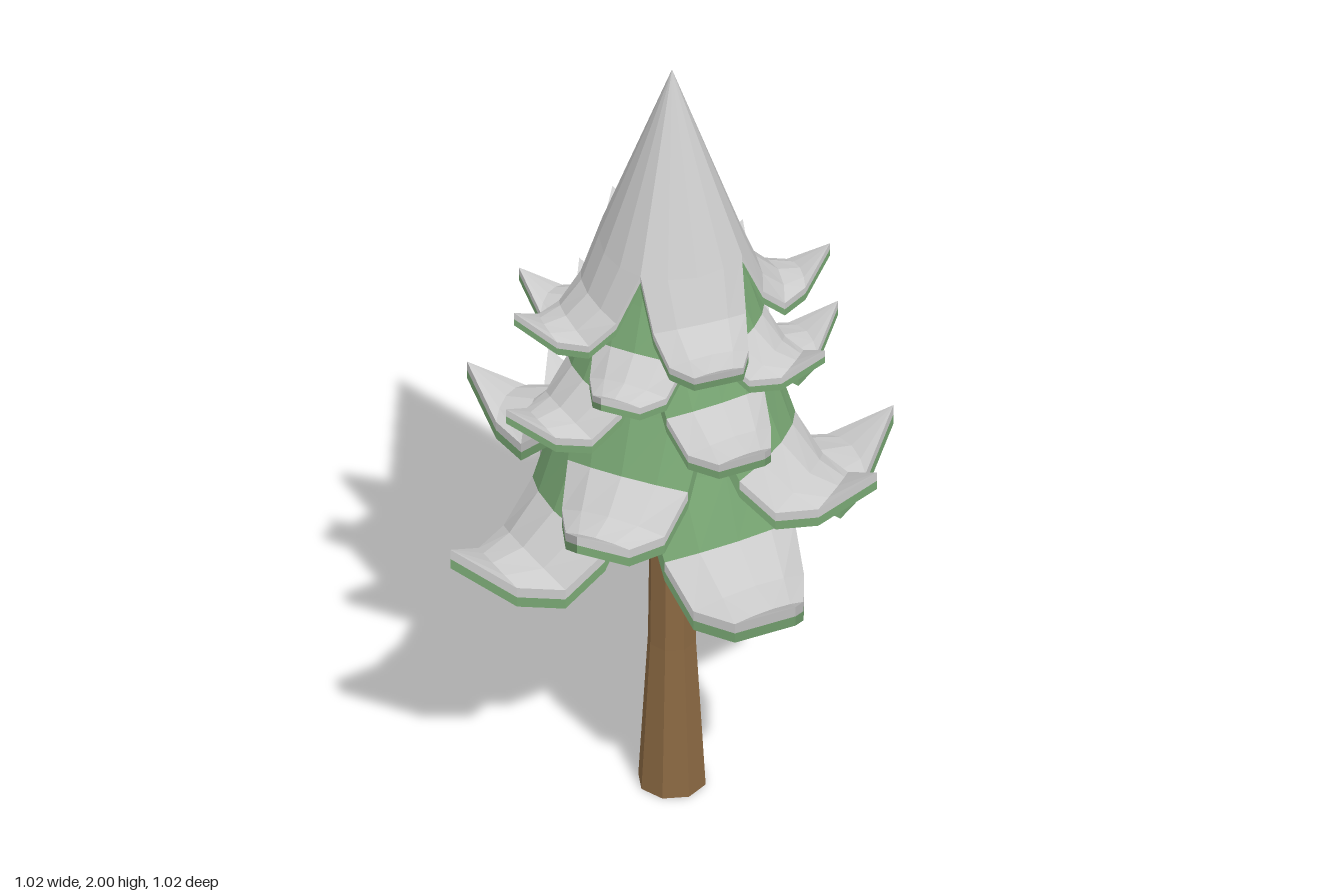
import * as THREE from 'three';

const material = (color) => new THREE.MeshStandardMaterial({ color, flatShading: true });

// Cross-sections of one bough, from the axis to the tip; y is relative to the tip.
// [ridge distance, ridge y, edge distance, edge half width, edge y]
const SECTIONS = [
  [0, 0.885, 0, 0, 0.885],
  [0.25, 0.17, 0.186, 0.186, 0.18],
  [0.31, 0.015, 0.27, 0.17, -0.01],
  [0.39, -0.06, 0.36, 0.145, -0.1],
  [0.47, -0.075, 0.456, 0.09, -0.095],
  [0.58, 0, 0.58, 0, 0],
];
const ACROSS = [-1, -0.55, 0, 0.55, 1];
const THICKNESS = 0.052;

// Points of one bough surface, lowered by drop
function boughGrid(scale, tipY, angle, drop) {
  const c = Math.cos(angle), s = Math.sin(angle);
  return SECTIONS.map(([ru, ry, eu, ev, ey]) => ACROSS.map((t) => {
    const k = t * t;
    const u = (ru + (eu - ru) * k) * scale;
    const v = ev * t * scale;
    const y = tipY + (ry + (ey - ry) * k - drop) * scale;
    return new THREE.Vector3(u * c - v * s, y, u * s + v * c);
  }));
}

function addTriangle(list, a, b, c) {
  const area = b.clone().sub(a).cross(c.clone().sub(a)).length();
  if (area > 1e-7) for (const p of [a, b, c]) list.push(p.x, p.y, p.z);
}

function addQuad(list, a, b, c, d) {
  addTriangle(list, a, b, c);
  addTriangle(list, a, c, d);
}

function meshFrom(list, mat, name) {
  const geometry = new THREE.BufferGeometry();
  geometry.setAttribute('position', new THREE.Float32BufferAttribute(list, 3));
  geometry.computeVertexNormals();
  const mesh = new THREE.Mesh(geometry, mat);
  mesh.name = name;
  return mesh;
}

// A skirt of four boughs; snow lies on the surface from section snowStart outward
function createTier(name, scale, tipY, degrees, snowStart, snowMat, needleMat) {
  const snow = [], needles = [];
  const last = ACROSS.length - 1;
  for (let n = 0; n < 4; n++) {
    const angle = THREE.MathUtils.degToRad(degrees + n * 90);
    const [top, middle, bottom] = [0, THICKNESS / 2, THICKNESS]
      .map((drop) => boughGrid(scale, tipY, angle, drop));
    for (let i = 0; i < SECTIONS.length - 1; i++) {
      const upper = i >= snowStart ? snow : needles;
      for (let j = 0; j < last; j++) {
        addQuad(upper, top[i][j], top[i][j + 1], top[i + 1][j + 1], top[i + 1][j]);
        addQuad(needles, bottom[i][j], bottom[i + 1][j], bottom[i + 1][j + 1], bottom[i][j + 1]);
      }
      if (i === 0) continue; // neighbouring boughs join here
      // Two-layer rim along both edges
      for (const [list, hi, lo] of [[upper, top, middle], [needles, middle, bottom]]) {
        addQuad(list, hi[i][last], lo[i][last], lo[i + 1][last], hi[i + 1][last]);
        addQuad(list, hi[i][0], hi[i + 1][0], lo[i + 1][0], lo[i][0]);
      }
    }
  }
  const tier = new THREE.Group();
  tier.name = name;
  tier.add(meshFrom(needles, needleMat, 'needles'), meshFrom(snow, snowMat, 'snow'));
  return tier;
}

export function createModel() {
  const tree = new THREE.Group();
  tree.name = 'snowyPine';
  const barkMat = material(0x8a6842);
  const needleMat = material(0x78a673);
  const snowMat = material(0xcccccc);

  // Trunk: flared foot and straighter upper part
  const trunk = new THREE.Group();
  trunk.name = 'trunk';
  const foot = new THREE.Mesh(new THREE.CylinderGeometry(0.057, 0.08, 0.4, 8), barkMat);
  foot.name = 'trunkFoot';
  foot.position.y = 0.2;
  const stem = new THREE.Mesh(new THREE.CylinderGeometry(0.048, 0.057, 0.8, 8, 1, true), barkMat);
  stem.name = 'trunkStem';
  stem.position.y = 0.8;
  trunk.add(foot, stem);
  tree.add(trunk);

  // Tiers from bottom to top: [name, scale, tip height, turn, first snowy section]
  const tiers = [
    ['lowestTier', 1, 0.85, 45, 2],
    ['lowerTier', 0.89, 1.02, 9, 2],
    ['middleTier', 0.75, 1.195, 45, 2],
    ['upperTier', 0.665, 1.325, 9, 2],
    ['snowCap', 0.665, 1.4115, 53.5, 0],
  ];
  for (const tier of tiers) tree.add(createTier(...tier, snowMat, needleMat));
  return tree;
}
